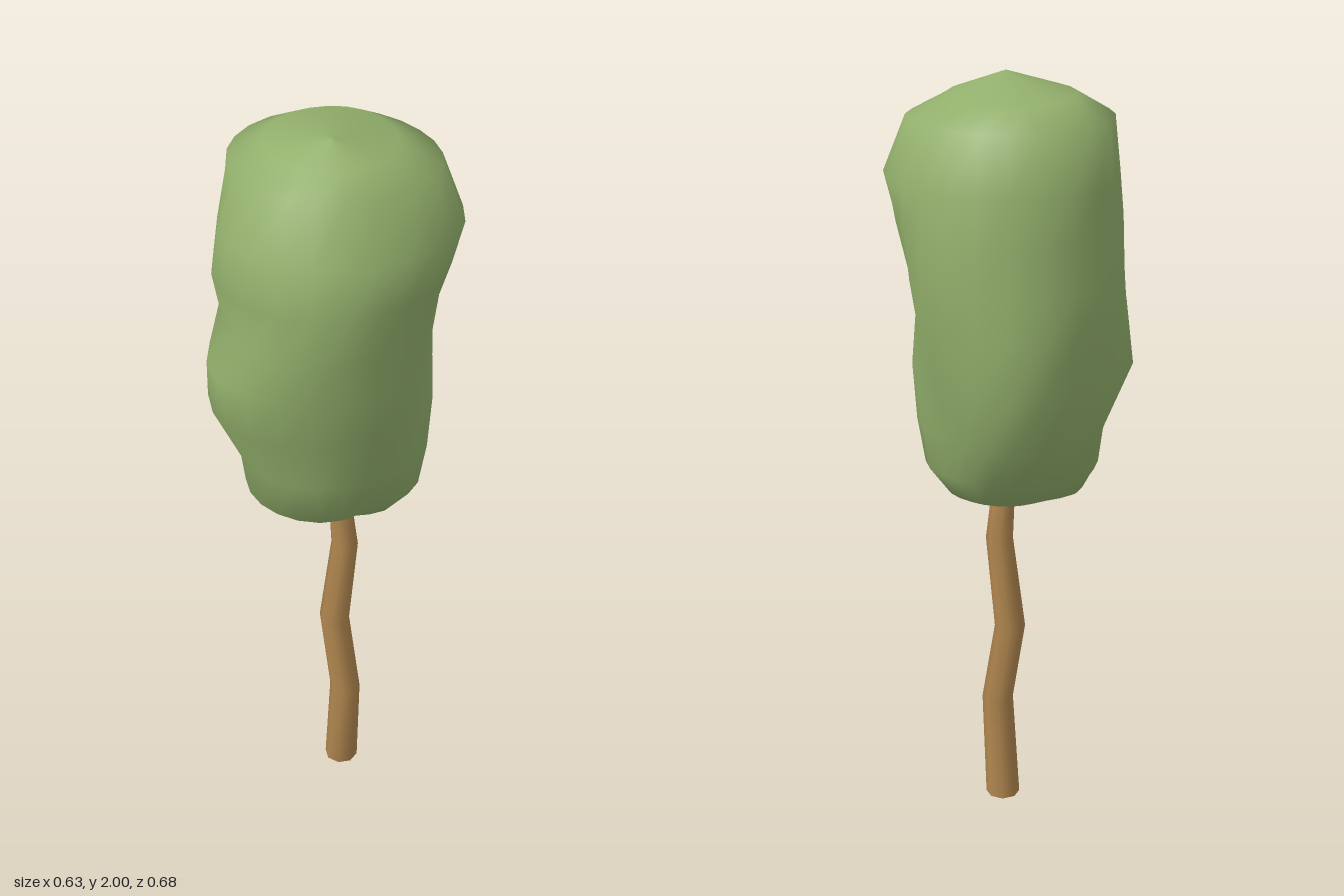
import * as THREE from 'three';

const bark = new THREE.MeshStandardMaterial({ color: 0xb0864f, side: THREE.DoubleSide });
bark.name = 'bark brown';
const leaf = new THREE.MeshStandardMaterial({ color: 0x93b06c });
leaf.name = 'leaf green';

// Skin a stack of rings, open at both ends; ring = { x, y, z, radius(angle) }.
function loft(rings, sides) {
  const pos = [], index = [];
  for (const r of rings) {
    for (let i = 0; i < sides; i++) {
      const a = (i / sides) * Math.PI * 2, d = r.radius(a);
      pos.push(r.x + d * Math.cos(a), r.y, r.z + d * Math.sin(a));
    }
  }
  for (let k = 0; k < (rings.length - 1) * sides; k += sides) {
    for (let i = 0; i < sides; i++) {
      const j = (i + 1) % sides;
      index.push(k + i, k + sides + i, k + j, k + j, k + sides + i, k + sides + j);
    }
  }
  const g = new THREE.BufferGeometry();
  g.setAttribute('position', new THREE.Float32BufferAttribute(pos, 3));
  g.setIndex(index);
  g.computeVertexNormals();
  return g;
}

// Smooth closed interpolation of eight radii spaced around the circle.
function around(radii) {
  return (a) => {
    const t = (a / (Math.PI * 2)) * 8, i = Math.floor(t + 1e-6), f = t - i;
    const p = (k) => radii[(i + k + 8) % 8];
    return p(0) + 0.5 * f * (p(1) - p(-1) + f * (2 * p(-1) - 5 * p(0) + 4 * p(1) - p(2)
      + f * (3 * (p(0) - p(1)) + p(2) - p(-1))));
  };
}

export function createModel() {
  const tree = new THREE.Group();
  tree.name = 'tree';

  // Crooked hollow trunk: x, y, z, radius
  const trunkRings = [
    [0.02, 0, 0, 0.046], [0.034, 0.29, 0.023, 0.042], [0, 0.52, 0, 0.041],
    [0.028, 0.78, 0.002, 0.036], [0.02, 0.88, 0.006, 0.032], [0.015, 0.95, 0.006, 0.03],
  ].map(([x, y, z, r]) => ({ x, y, z, radius: () => r }));
  const trunk = new THREE.Mesh(loft(trunkRings, 8), bark);
  trunk.name = 'trunk';

  // Lumpy crown: height, then radii from +x round through +z, -x and -z
  const crownRings = [
    [0.878, 0, 0, 0, 0, 0, 0, 0, 0],
    [0.925, 0.16, 0.1, 0.09, 0.14, 0.19, 0.13, 0.13, 0.14],
    [1.0, 0.22, 0.18, 0.215, 0.23, 0.23, 0.21, 0.2, 0.19],
    [1.12, 0.24, 0.22, 0.24, 0.255, 0.245, 0.26, 0.29, 0.215],
    [1.27, 0.25, 0.255, 0.28, 0.32, 0.315, 0.29, 0.335, 0.255],
    [1.42, 0.235, 0.285, 0.315, 0.345, 0.295, 0.31, 0.338, 0.285],
    [1.53, 0.245, 0.28, 0.325, 0.285, 0.287, 0.31, 0.327, 0.303],
    [1.66, 0.285, 0.3, 0.342, 0.325, 0.282, 0.3, 0.315, 0.303],
    [1.77, 0.312, 0.3, 0.305, 0.3, 0.272, 0.3, 0.3, 0.295],
    [1.91, 0.255, 0.235, 0.255, 0.245, 0.257, 0.27, 0.265, 0.25],
    [1.96, 0.15, 0.17, 0.185, 0.175, 0.165, 0.17, 0.17, 0.15],
  ].map(([y, ...radii]) => ({ x: 0, y, z: 0, radius: around(radii) }));
  // Peak sits a little towards the front
  crownRings.push({ x: 0.01, y: 2, z: 0.09, radius: () => 0 });
  const crown = new THREE.Mesh(loft(crownRings, 24), leaf);
  crown.name = 'crown';

  tree.add(trunk, crown);
  return tree;
}
